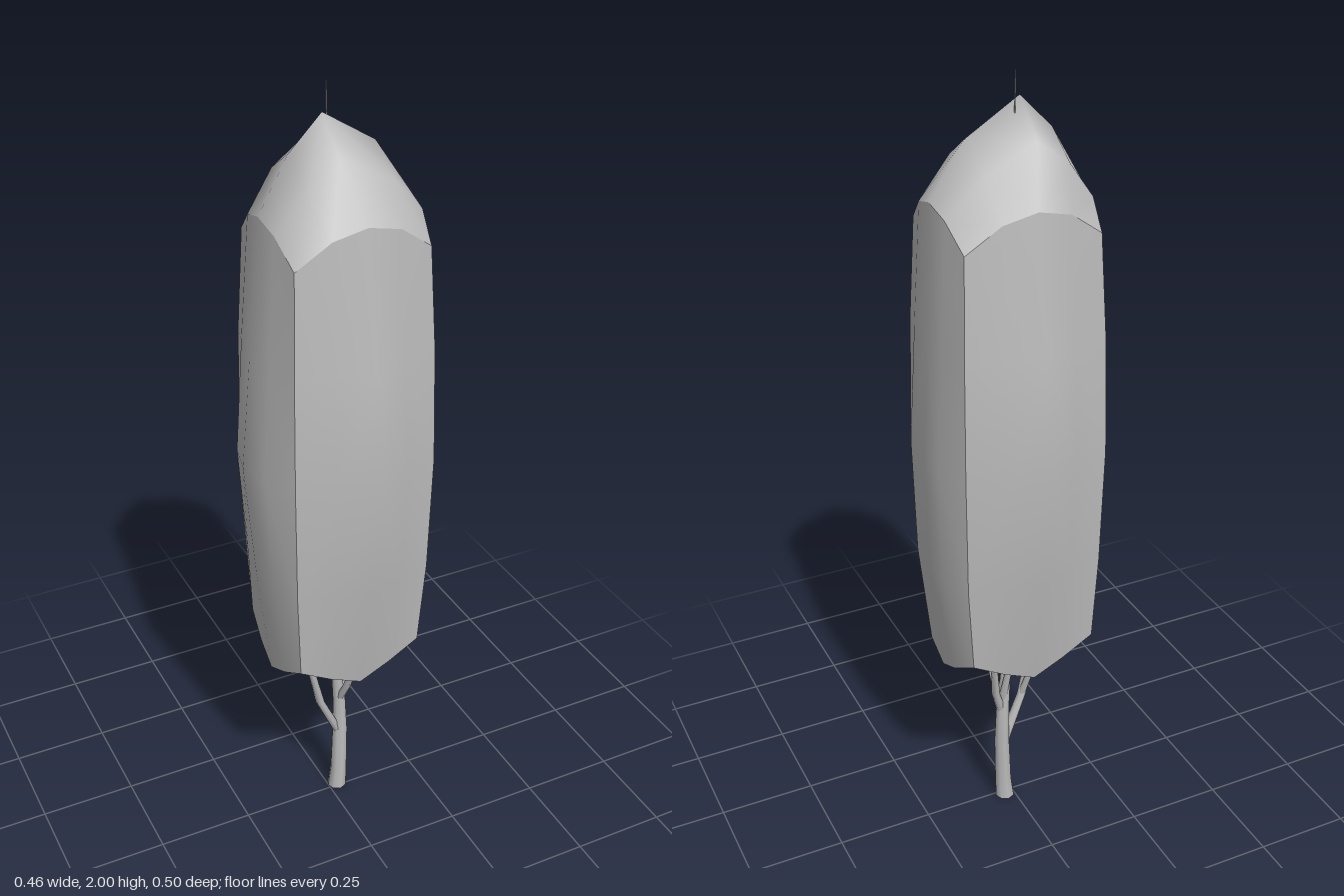
import * as THREE from 'three';
import { mergeVertices } from 'three/addons/utils/BufferGeometryUtils.js';

const grey = new THREE.MeshStandardMaterial({ color: 0xbababa, side: THREE.DoubleSide });
grey.name = 'grey';

// Smooth surface through a grid of points, rows running top to bottom
function gridGeometry(rows, cols, point) {
  const pos = [], index = [];
  for (let r = 0; r < rows; r++) {
    for (let c = 0; c < cols; c++) {
      pos.push(...point(r, c));
      if (r < rows - 1 && c < cols - 1) {
        const a = r * cols + c, b = a + cols;
        // diagonals mirrored about the middle column
        if (c < (cols - 1) / 2) index.push(a, b, a + 1, b, b + 1, a + 1);
        else index.push(a, b, b + 1, a, b + 1, a + 1);
      }
    }
  }
  const g = new THREE.BufferGeometry();
  g.setAttribute('position', new THREE.Float32BufferAttribute(pos, 3));
  g.setIndex(index);
  return g;
}

function addMesh(parent, name, geometry) {
  geometry.computeVertexNormals();
  const mesh = new THREE.Mesh(geometry, grey);
  mesh.name = name;
  parent.add(mesh);
}

// Crown corner columns, from top row to bottom row
const cornerLeft = [-0.155, -0.165, -0.17, -0.165, -0.155];
const cornerRight = [0.18, 0.19, 0.195, 0.19, 0.175];
const cornerZ = [0.142, 0.157, 0.165, 0.158, 0.15];
const topY = [1.65, 1.71, 1.73, 1.71, 1.65];
const bottomY = [0.57, 0.525, 0.49, 0.525, 0.57];
const rowY = (r, c) => [topY[c], 1.4, 1.11, 0.8, bottomY[c]][r];
const topBulge = [0, 0.014, 0.02, 0.014, 0];

// One leafy side: bulge is the outward swell at mid height, low/foot scale it further down
function panelGeometry(side, bulge, low, foot) {
  const scale = [0, 0.65, 1, low, foot];
  return gridGeometry(5, 5, (r, c) => {
    const t = c / 4, y = rowY(r, c);
    const out = r === 0 ? topBulge[c] : bulge[c] * scale[r];
    const x0 = cornerLeft[r], x1 = cornerRight[r], z = cornerZ[r];
    if (side === 'front') return [x0 + (x1 - x0) * t, y, z + out];
    if (side === 'back') return [x1 + (x0 - x1) * t, y, -z - out];
    if (side === 'left') return [x1 + out, y, z - 2 * z * t];
    return [x0 - out, y, -z + 2 * z * t];
  });
}

// Domed cap fitted to the upper edges of the four sides
function capGeometry() {
  const drop = [[0, 0.08, 0.21], [0.08, 0.14, 0.23], [0.21, 0.23, 0.29]];
  const midX = [-0.17, -0.1, -0.02, 0.11, 0.195];
  const midZ = [-0.162, -0.09, 0, 0.09, 0.162];
  return gridGeometry(5, 5, (r, c) => {
    const i = Math.abs(c - 2), j = Math.abs(r - 2);
    let x = midX[c], z = midZ[r];
    if (j === 2) x = -0.155 + 0.335 * c / 4;
    if (i === 2) z = -0.142 + 0.284 * r / 4;
    if (j === 2 && i < 2) z = Math.sign(z) * (0.142 + topBulge[c]);
    if (i === 2 && j < 2) x = c === 0 ? -0.155 - topBulge[r] : 0.18 + topBulge[r];
    return [x, 1.94 - drop[i][j], z];
  });
}

// Tapered limb through stations of [x, y, z, radius]
function limbGeometry(stations, sides = 8) {
  return gridGeometry(stations.length, sides + 1, (r, c) => {
    const [x, y, z, rad] = stations[stations.length - 1 - r];
    const a = (c % sides) / sides * Math.PI * 2;
    return [x + Math.sin(a) * rad, y, z + Math.cos(a) * rad];
  });
}

export function createModel() {
  const tree = new THREE.Group();
  tree.name = 'tree';

  // Crown
  const crown = new THREE.Group();
  crown.name = 'crown';
  addMesh(crown, 'crownCap', capGeometry());
  addMesh(crown, 'crownFront', panelGeometry('front', [0, 0.05, 0.085, 0.035, 0], 0.6, 0.06));
  addMesh(crown, 'crownBack', panelGeometry('back', [0, 0.055, 0.085, 0.03, 0], 0.6, 0.06));
  addMesh(crown, 'crownLeft', panelGeometry('left', [0, 0.034, 0.035, 0.034, 0], 0.95, 0.55));
  addMesh(crown, 'crownRight', panelGeometry('right', [0, 0.04, 0.06, 0.04, 0], 0.65, 0.25));
  tree.add(crown);

  // Trunk with its leader, which pokes out above the crown
  const wood = new THREE.Group();
  wood.name = 'wood';
  const trunk = [
    [0.025, 0, -0.01, 0.026], [0.03, 0.06, -0.01, 0.023], [0.036, 0.2, -0.015, 0.021],
    [0.034, 0.3, -0.016, 0.018], [0.02, 0.45, -0.012, 0.013], [0.01, 0.7, -0.01, 0.011],
    [0.015, 1.1, -0.015, 0.008], [0.005, 1.6, -0.02, 0.005], [0, 2, -0.02, 0.001],
  ];
  addMesh(wood, 'trunk', mergeVertices(limbGeometry(trunk)));
  const base = new THREE.CircleGeometry(0.026, 8).rotateX(Math.PI / 2).translate(0.025, 0, -0.01);
  addMesh(wood, 'trunkBase', base);

  // Branches rising into the crown
  const branches = [
    [[0.03, 0.19, -0.014, 0.014], [-0.03, 0.32, 0.0, 0.012], [-0.055, 0.42, 0.01, 0.01], [-0.08, 0.55, 0.015, 0.008], [-0.1, 0.85, 0.02, 0.003]],
    [[-0.03, 0.32, 0.0, 0.01], [-0.048, 0.43, -0.03, 0.008], [-0.05, 0.55, -0.05, 0.007], [-0.06, 0.8, -0.07, 0.003]],
    [[0.035, 0.29, -0.015, 0.013], [0.06, 0.37, -0.03, 0.011], [0.072, 0.45, -0.05, 0.009], [0.08, 0.55, -0.07, 0.007], [0.1, 0.9, -0.08, 0.003]],
    [[0.034, 0.3, -0.015, 0.013], [0.038, 0.36, 0.018, 0.011], [0.045, 0.43, 0.045, 0.009], [0.05, 0.55, 0.055, 0.008], [0.06, 0.9, 0.07, 0.003]],
    [[0.036, 0.32, -0.015, 0.011], [0.03, 0.42, -0.038, 0.009], [0.01, 0.55, -0.05, 0.007], [0, 0.95, -0.07, 0.003]],
  ];
  branches.forEach((b, i) => addMesh(wood, `branch${i + 1}`, mergeVertices(limbGeometry(b, 6))));
  tree.add(wood);

  return tree;
}
